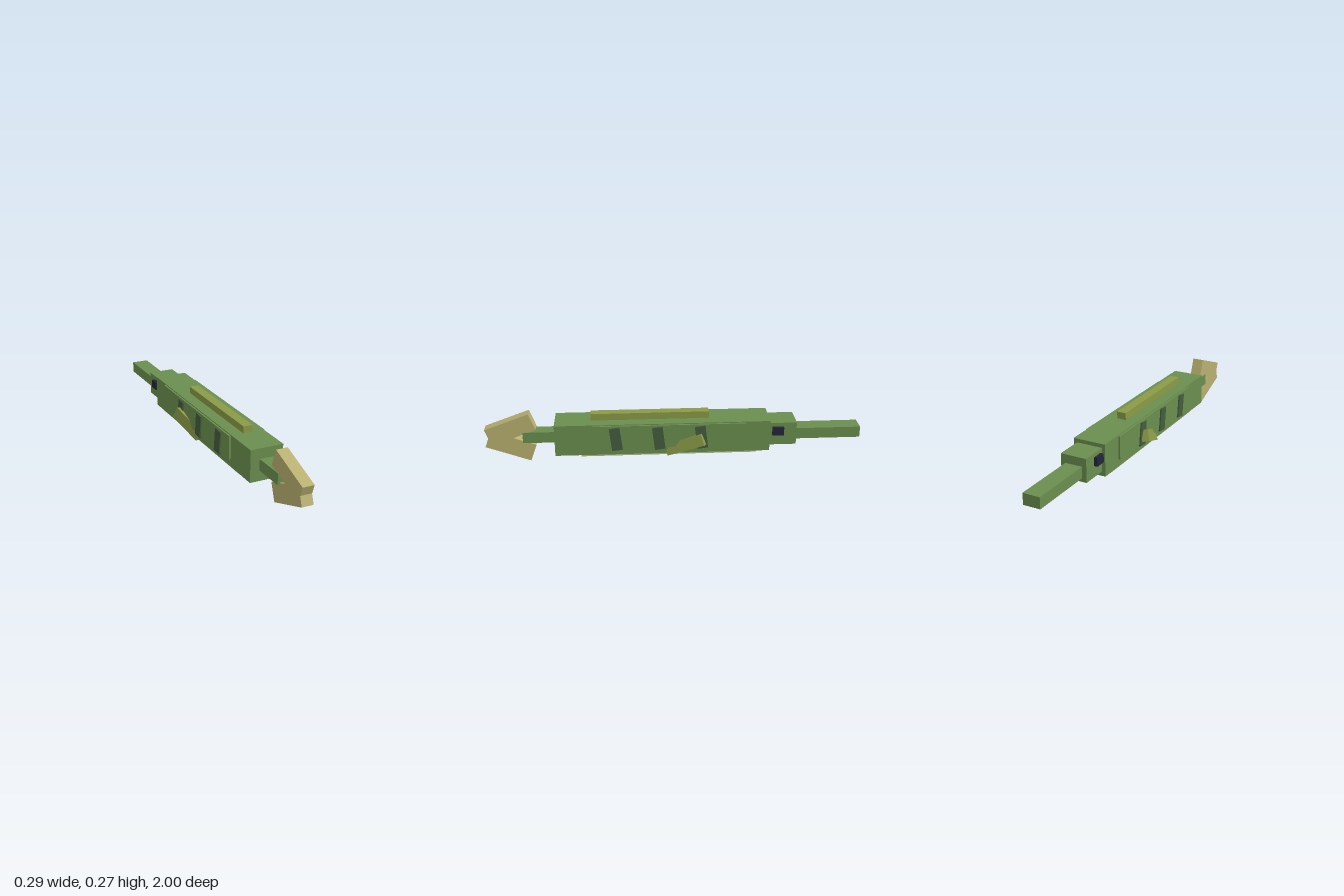
import * as THREE from 'three';

const mat = (name, color) => {
  const m = new THREE.MeshStandardMaterial({ color });
  m.name = name;
  return m;
};

export function createModel() {
  const green = mat('leaf green', 0x6b8e4e);
  const darkGreen = mat('dark stripe green', 0x445c3e);
  const olive = mat('olive fin', 0x8a9a46);
  const tan = mat('tan tail', 0xb8b070);
  const pale = mat('pale belly', 0xb0bf90);
  const navy = mat('dark eye', 0x22253a);

  const fish = new THREE.Group();
  fish.name = 'fish';

  // Box given by its size and centre, tilted about x
  const box = (name, material, size, pos, tilt = 0) => {
    const mesh = new THREE.Mesh(new THREE.BoxGeometry(...size), material);
    mesh.name = name;
    mesh.position.set(...pos);
    mesh.rotation.x = tilt;
    fish.add(mesh);
    return mesh;
  };

  // Body, head and snout (the snout points to -z)
  box('body', green, [0.176, 0.17, 1.135], [0, 0.135, 0.0625]);
  box('flanks', green, [0.196, 0.125, 0.805], [0, 0.1525, 0.0275]);
  box('belly', pale, [0.156, 0.03, 0.93], [0, 0.053, 0.03]);
  box('head', green, [0.14, 0.125, 0.16], [0, 0.1375, -0.57]);
  box('snout', green, [0.092, 0.06, 0.36], [0, 0.125, -0.82]);

  // Back fin, tail root and forked tail
  box('dorsalFin', olive, [0.05, 0.057, 0.625], [0, 0.2285, 0.1275]);
  box('tailRoot', green, [0.076, 0.06, 0.18], [0, 0.135, 0.71]);
  const fork = THREE.MathUtils.degToRad(20);
  box('upperTailLobe', tan, [0.062, 0.097, 0.25], [0, 0.179, 0.865], fork);
  box('lowerTailLobe', tan, [0.0618, 0.097, 0.25], [0, 0.087, 0.865], -fork);

  for (const s of [1, -1]) {
    const side = s > 0 ? 'left' : 'right';
    box(side + 'Eye', navy, [0.025, 0.045, 0.06], [s * 0.0765, 0.157, -0.55]);

    // Slanted flank stripes
    for (const z of [0.31, 0.085, -0.14]) {
      box(side + 'Stripe', darkGreen, [0.015, 0.126, 0.056], [s * 0.0975, 0.143, z], 0.12);
    }

    // Paired fin, swept up and outwards towards the head
    const fin = box(side + 'PectoralFin', olive, [0.037, 0.062, 0.21], [s * 0.0935, 0.0995, -0.0535]);
    const along = new THREE.Vector3(-0.0485 * s, -0.076, 0.19).normalize();
    const across = new THREE.Vector3(-0.035 * s, -0.008, -0.012);
    across.addScaledVector(along, -across.dot(along)).normalize();
    const up = along.clone().cross(across);
    fin.quaternion.setFromRotationMatrix(new THREE.Matrix4().makeBasis(across, up, along));
  }

  return fish;
}
